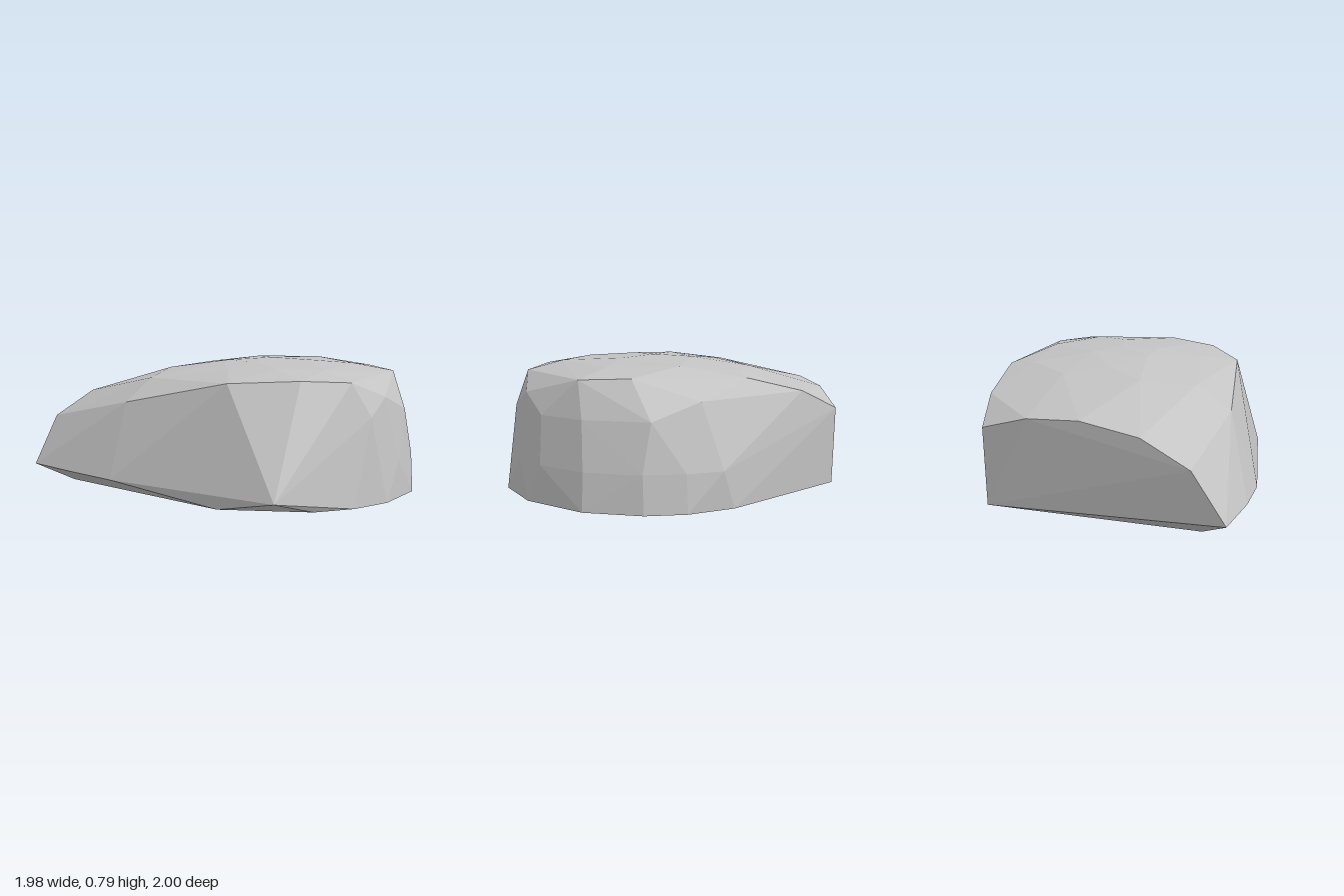
import * as THREE from 'three';
import { ConvexGeometry } from 'three/addons/geometries/ConvexGeometry.js';

// A ring is a list of [x, z] points at one shared height
const ring = (y, points) => points.map(([x, z]) => new THREE.Vector3(x, y, z));
const loose = (points) => points.map((p) => new THREE.Vector3(...p));

export function createModel() {
  const group = new THREE.Group();
  group.name = 'rock';
  const stone = new THREE.MeshStandardMaterial({ color: 0xc3c3c3 });
  stone.name = 'grey stone';

  // Flat footprint
  const base = ring(0, [
    [0.48, -0.96], [0.93, -0.17], [0.99, 0.12], [0.96, 0.36], [0.8, 0.67], [0.46, 0.925],
    [0.11, 1], [-0.14, 0.96], [-0.36, 0.85], [-0.7, 0.42], [-0.8, -0.82],
  ]);

  // Overhanging lip along the sloped side
  const lip = loose([[-0.99, 0.11, -0.97], [-0.98, 0.11, -0.6], [-0.93, 0.1, -0.27], [-0.6, 0.07, 0.77]]);

  // Bulging wall
  const lowWall = ring(0.22, [[0.95, -0.1], [0.965, 0.12], [0.935, 0.36], [0.775, 0.66], [0.53, 0.86], [0.29, 0.945]]);
  const highWall = ring(0.5, [[0.89, 0.3], [0.71, 0.65], [0.48, 0.84], [0.04, 0.93]]);

  // Shoulder where the wall meets the crown
  const shoulder = loose([
    [-0.77, 0.55, -0.3], [-0.57, 0.7, 0.37], [-0.29, 0.715, 0.68], [-0.04, 0.7, 0.845], [0.22, 0.6, 0.89],
    [0.33, 0.71, 0.72], [0.61, 0.71, 0.65], [0.72, 0.72, 0.37], [0.87, 0.6, 0.01], [0.69, 0.7, -0.32],
  ]);

  // Top edge of the steep back face
  const backEdge = loose([
    [0.6, 0.6, -0.7], [0.49, 0.47, -0.97], [0.18, 0.565, -1],
    [-0.15, 0.59, -1], [-0.51, 0.54, -1], [-0.8, 0.4, -1],
  ]);

  // Gently domed crown
  const crown = loose([
    [0.1, 0.79, 0.08], [0.2, 0.782, 0.3], [-0.12, 0.78, 0.15], [-0.03, 0.755, 0.63], [0.45, 0.755, 0.46],
    [0.57, 0.765, 0.05], [0.2, 0.78, -0.13], [-0.15, 0.775, -0.1], [-0.4, 0.74, 0.2], [-0.22, 0.762, 0.42],
    [0.52, 0.725, -0.33], [0, 0.748, -0.34], [-0.56, 0.68, -0.32], [-0.27, 0.715, -0.47], [0.22, 0.715, -0.5],
  ]);

  // Faceted hull through all the rings
  const geometry = new ConvexGeometry([...base, ...lip, ...lowWall, ...highWall, ...shoulder, ...backEdge, ...crown]);
  const boulder = new THREE.Mesh(geometry, stone);
  boulder.name = 'boulder';
  group.add(boulder);
  return group;
}
